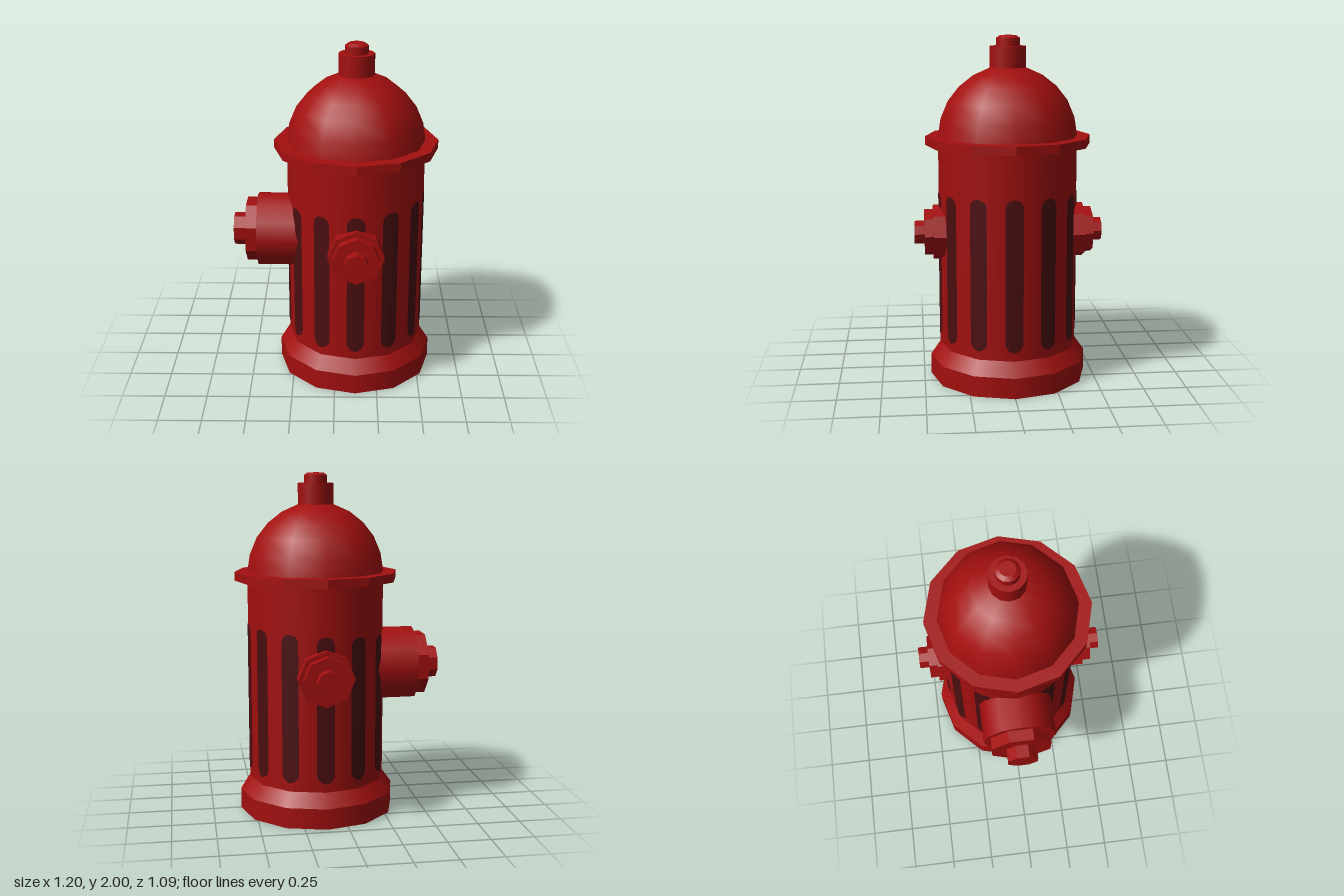
import * as THREE from 'three';
import { mergeGeometries } from 'three/addons/utils/BufferGeometryUtils.js';

const SIDES = 12, BODY_R = 0.403;

export function createModel() {
  const model = new THREE.Group();
  model.name = 'fireHydrant';
  const hydrant = new THREE.Group();
  hydrant.name = 'hydrant';
  hydrant.position.x = 0.122;
  model.add(hydrant);

  const red = new THREE.MeshStandardMaterial({ color: 0xa30f0f, side: THREE.DoubleSide });
  red.name = 'hydrantRed';
  const dark = new THREE.MeshStandardMaterial({ color: 0x4b0e10, side: THREE.DoubleSide });
  dark.name = 'darkRed';

  const add = (parent, name, geometry, material = red) => {
    const mesh = new THREE.Mesh(geometry, material);
    mesh.name = name;
    parent.add(mesh);
    return mesh;
  };
  // Upright ring or drum between two heights
  const drum = (rBottom, rTop, y0, y1, open = false, sides = SIDES) =>
    new THREE.CylinderGeometry(rTop, rBottom, y1 - y0, sides, 1, open).translate(0, (y0 + y1) / 2, 0);
  const faceted = (geometry) => {
    const flat = geometry.toNonIndexed();
    flat.computeVertexNormals();
    return flat;
  };
  const lathe = (points) =>
    new THREE.LatheGeometry(points.map(([r, y]) => new THREE.Vector2(r, y)), SIDES);

  // Hollow base, open underneath
  add(hydrant, 'baseRing', drum(0.46, 0.46, 0, 0.12, true));
  add(hydrant, 'baseTaper', drum(0.46, BODY_R, 0.12, 0.2, true));
  add(hydrant, 'baseRim', lathe([[0.415, 0], [0.46, 0]]));
  add(hydrant, 'baseInnerWall', drum(0.415, 0.415, 0, 0.1, true));
  add(hydrant, 'baseInnerTaper', drum(0.415, 0.398, 0.1, 0.2, true));

  // Barrel and bonnet
  add(hydrant, 'barrel', drum(BODY_R, BODY_R, 0.2, 1.38, true));
  add(hydrant, 'bonnetFlange', faceted(drum(0.478, 0.478, 1.38, 1.43)));
  add(hydrant, 'bonnet', lathe([
    [BODY_R, 1.43], [0.387, 1.53], [0.345, 1.63], [0.28, 1.712], [0.2, 1.775], [0.1, 1.82], [0, 1.825],
  ]));
  add(hydrant, 'bonnetCap', drum(0.104, 0.104, 1.81, 1.94));
  add(hydrant, 'topNut', drum(0.068, 0.068, 1.94, 1.985));
  add(hydrant, 'topNutBevel', drum(0.068, 0.045, 1.985, 2));

  // Half of a round-ended stripe, lying on one barrel facet beside its edge
  const halfStripe = (top, bottom, side) => {
    const w = 0.053;
    const shape = new THREE.Shape();
    shape.moveTo(0, bottom);
    shape.absarc(0, bottom + w, w, -Math.PI / 2, 0, false);
    shape.absarc(0, top - w, w, 0, Math.PI / 2, false);
    shape.closePath();
    const geometry = new THREE.ShapeGeometry(shape, 6);
    if (side < 0) geometry.rotateY(Math.PI).scale(1, 1, -1);
    return geometry.rotateY(side * Math.PI / SIDES);
  };

  // Dark stripes folded over each barrel edge, outside and inside
  const stripes = new THREE.Group();
  stripes.name = 'barrelStripes';
  hydrant.add(stripes);
  for (let i = 0; i < SIDES; i++) {
    const angle = (i / SIDES) * Math.PI * 2;
    const top = 1.1 + 0.025 * Math.sin(angle);
    for (const [label, radius] of [['outer', BODY_R + 0.003], ['inner', BODY_R - 0.004]]) {
      const parts = [1, -1].map((side) => halfStripe(top, 0.25, side));
      const geometry = mergeGeometries(parts).translate(0, 0, radius).rotateY(angle);
      // Normals follow the round barrel
      const p = geometry.attributes.position, n = geometry.attributes.normal;
      for (let k = 0; k < p.count; k++) {
        const length = Math.hypot(p.getX(k), p.getZ(k));
        n.setXYZ(k, p.getX(k) / length, 0, p.getZ(k) / length);
      }
      // Corner order of the mirrored half matches its outward normals
      const index = geometry.index;
      const a = new THREE.Vector3(), b = new THREE.Vector3(), c = new THREE.Vector3();
      for (let t = 0; t < index.count; t += 3) {
        const ids = [0, 1, 2].map((j) => index.getX(t + j));
        [a, b, c].forEach((v, j) => v.fromBufferAttribute(p, ids[j]));
        const facing = b.clone().sub(a).cross(c.clone().sub(a));
        if (facing.x * a.x + facing.z * a.z < 0) {
          index.setX(t + 1, ids[2]);
          index.setX(t + 2, ids[1]);
        }
      }
      add(stripes, `${label}Stripe`, geometry, dark);
    }
  }

  // Outlets: stepped drums pointing along +z, turned into place
  const outlet = (name, turn, steps) => {
    const group = new THREE.Group();
    group.name = name;
    group.position.y = 0.867;
    group.rotation.y = turn;
    hydrant.add(group);
    for (const [part, r, z0, z1, sides, twist] of steps) {
      const geometry = drum(r, r, z0, z1, false, sides).rotateY(twist).rotateX(Math.PI / 2);
      add(group, part, sides <= 8 ? faceted(geometry) : geometry);
    }
  };
  const small = [
    ['outletCollar', 0.162, 0.36, 0.438, 8, 0],
    ['outletCap', 0.136, 0.43, 0.488, 8, 0],
    ['outletNut', 0.068, 0.48, 0.547, 8, 0],
  ];
  outlet('frontOutlet', 0, small);
  outlet('backOutlet', Math.PI, small);
  outlet('largeOutlet', -Math.PI / 2, [
    ['outletBarrel', 0.218, 0.31, 0.58, 12, 0],
    ['outletCap', 0.19, 0.57, 0.648, 8, Math.PI / 8],
    ['outletNut', 0.096, 0.64, 0.724, 8, Math.PI / 8],
  ]);

  return model;
}
